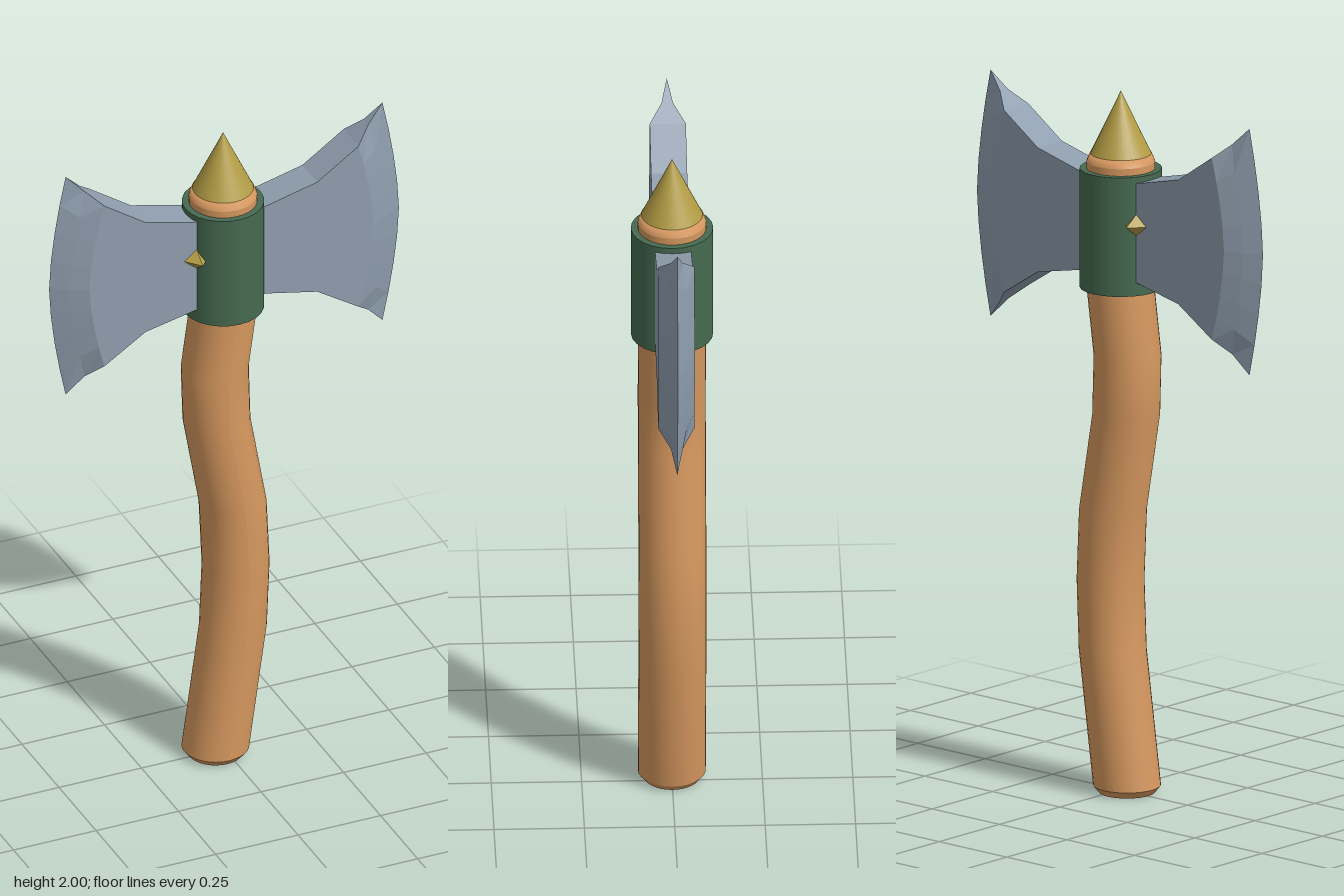
import * as THREE from 'three';

const material = (name, color) => {
  const m = new THREE.MeshStandardMaterial({ color });
  m.name = name;
  return m;
};

// Piecewise linear lookup in a list of [key, value] pairs
function lookup(table, k) {
  for (let i = 1; i < table.length; i++) {
    const [k0, v0] = table[i - 1], [k1, v1] = table[i];
    if (k <= k1) return v0 + (v1 - v0) * Math.max(0, (k - k0) / (k1 - k0));
  }
  return table[table.length - 1][1];
}

// Round shaft whose rings are shifted sideways along a gentle S-curve
function shaftGeometry() {
  const bend = [[0, -0.026], [0.02, -0.026], [0.4, 0.027], [0.6, 0.035], [0.8, 0.026],
    [1.08, -0.023], [1.25, -0.028], [1.44, -0.002], [1.6, -0.003], [1.82, -0.003]];
  const side = bend.slice(1, -1).map(([y]) => new THREE.Vector2(0.094, y));
  const rings = [[[0, 0], [0.078, 0]], [[0.078, 0], [0.094, 0.02]],
    side.map(p => [p.x, p.y]).concat([[0.095, 1.8]]), [[0.095, 1.8], [0.086, 1.822], [0, 1.822]]];
  return rings.map(r => {
    const g = new THREE.LatheGeometry(r.map(([x, y]) => new THREE.Vector2(x, y)), 32);
    const p = g.attributes.position;
    for (let i = 0; i < p.count; i++) p.setX(i, p.getX(i) + lookup(bend, p.getY(i)));
    g.computeVertexNormals();
    return g;
  });
}

// Flared blade: columns from the socket to the sharp edge, thinning at the end
function bladeGeometry() {
  // x at tips, x at middle, bottom y, top y, half thickness at tips, at middle
  const columns = [
    [0.04, 0.04, 1.485, 1.755, 0.05, 0.05],
    [0.11, 0.11, 1.477, 1.763, 0.05, 0.05],
    [0.26, 0.26, 1.445, 1.80, 0.05, 0.05],
    [0.385, 0.43, 1.365, 1.885, 0.05, 0.05],
    [0.43, 0.48, 1.325, 1.925, 0.016, 0.027],
    [0.48, 0.53, 1.27, 1.975, 0, 0],
  ];
  const rows = 8, out = [];
  const point = (c, r, s) => {
    const [xe, xm, y0, y1, ze, zm] = columns[c];
    const v = Math.abs(2 * r / rows - 1);
    const z = v === 1 ? ze : zm;
    return [xe + (xm - xe) * (1 - v ** 1.6), y0 + (y1 - y0) * r / rows, s * z];
  };
  const quad = (a, b, c, d) => out.push(...a, ...b, ...c, ...a, ...c, ...d);
  for (let c = 0; c < columns.length - 1; c++) {
    for (let r = 0; r < rows; r++) {
      quad(point(c, r, 1), point(c + 1, r, 1), point(c + 1, r + 1, 1), point(c, r + 1, 1));
      quad(point(c, r + 1, -1), point(c + 1, r + 1, -1), point(c + 1, r, -1), point(c, r, -1));
    }
    quad(point(c, 0, 1), point(c, 0, -1), point(c + 1, 0, -1), point(c + 1, 0, 1));
    quad(point(c + 1, rows, 1), point(c + 1, rows, -1), point(c, rows, -1), point(c, rows, 1));
  }
  const g = new THREE.BufferGeometry();
  g.setAttribute('position', new THREE.Float32BufferAttribute(out, 3));
  g.computeVertexNormals();
  return g;
}

export function createModel() {
  const model = new THREE.Group();
  model.name = 'doubleAxe';
  const wood = material('wood', 0xd6985f);
  const steel = material('steel', 0x8f9eae);
  const green = material('greenWrap', 0x466a50);
  const gold = material('gold', 0xb39d45);

  const add = (name, geometry, mat, x = 0, y = 0, z = 0, parent = model) => {
    const mesh = new THREE.Mesh(geometry, mat);
    mesh.name = name;
    mesh.position.set(x, y, z);
    parent.add(mesh);
    return mesh;
  };

  // Wooden handle
  const handle = new THREE.Group();
  handle.name = 'handle';
  model.add(handle);
  const names = ['handleBase', 'handleBevel', 'handleShaft', 'handleTop'];
  shaftGeometry().forEach((g, i) => add(names[i], g, wood, 0, 0, 0, handle));

  // Socket wrapped round the head, and the spike above it
  add('socket', new THREE.CylinderGeometry(0.114, 0.114, 0.34, 24), green, -0.003, 1.61, 0);
  add('spike', new THREE.ConeGeometry(0.088, 0.185, 32), gold, -0.003, 1.9075, 0);

  // Two mirrored blades
  const blade = bladeGeometry();
  add('leftBlade', blade, steel);
  add('rightBlade', blade, steel).rotation.y = Math.PI;

  // Pointed studs beside the socket, front and back
  for (const s of [1, -1]) {
    const stud = add(s > 0 ? 'frontStud' : 'backStud', new THREE.OctahedronGeometry(1), gold, -0.105, 1.643, s * 0.05);
    stud.scale.set(0.037, 0.03, 0.042);
  }
  return model;
}
